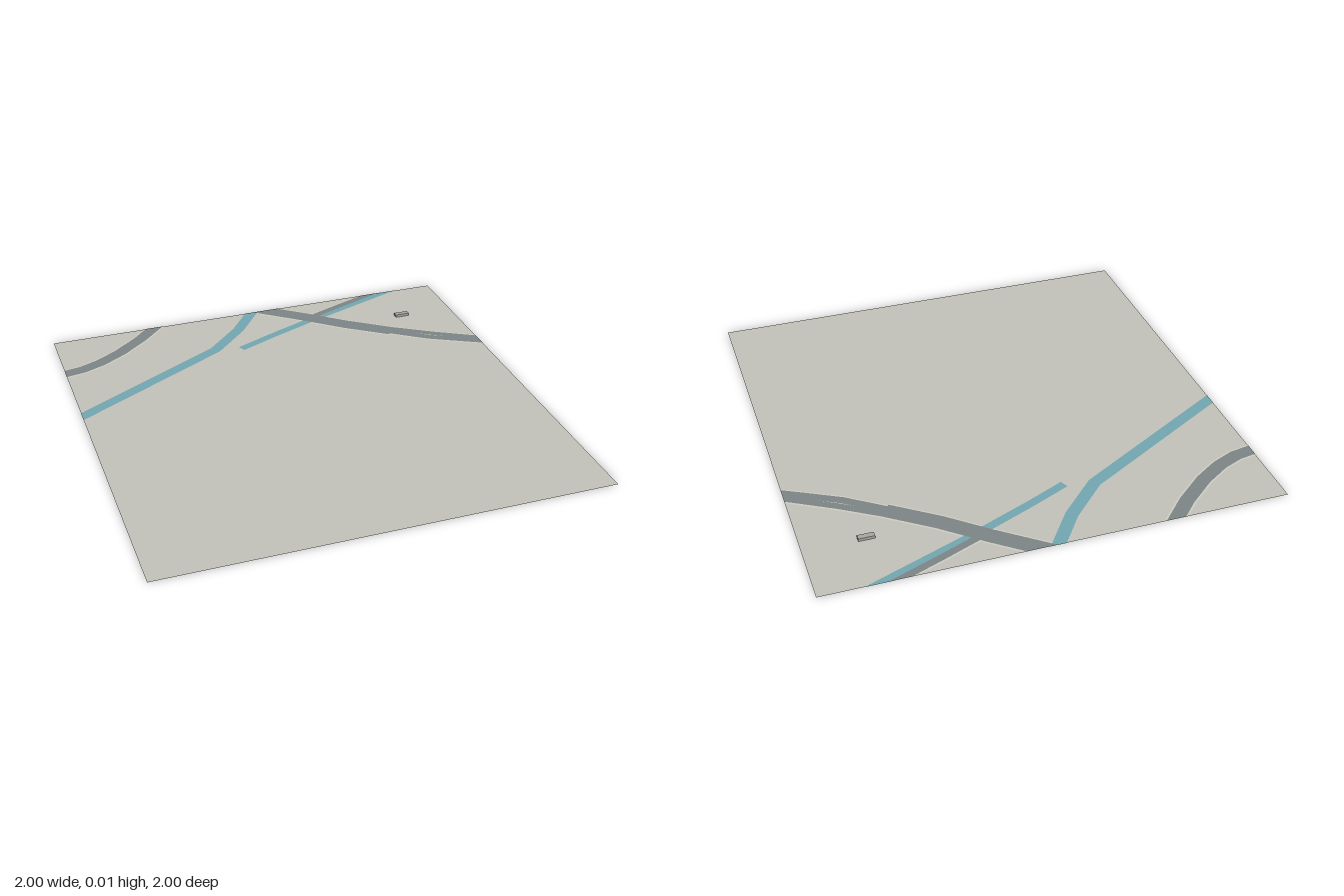
import * as THREE from 'three';

const material = (color) => new THREE.MeshStandardMaterial({ color, side: THREE.DoubleSide });
const ground = material(0xc4c4bc);
const verge = material(0xd0cfc4);
const asphalt = material(0x7f8688);
const water = material(0x74a9b3);
const wall = material(0xa9a9a4);

// Cut a polygon of [x, z] corners to the square tile
function clipToTile(polygon) {
  for (const axis of [0, 1]) {
    for (const sign of [-1, 1]) {
      const out = [];
      polygon.forEach((a, i) => {
        const b = polygon[(i + 1) % polygon.length];
        const da = 1 - sign * a[axis];
        const db = 1 - sign * b[axis];
        if (da >= 0) out.push(a);
        if (da * db < 0) {
          const t = da / (da - db);
          out.push([a[0] + t * (b[0] - a[0]), a[1] + t * (b[1] - a[1])]);
        }
      });
      polygon = out;
    }
  }
  return polygon;
}

// Flat mitred band along a path of [x, z] points
function ribbon(name, path, width, y, mat) {
  const points = path.map(([x, z]) => new THREE.Vector2(x, z));
  const directions = points.slice(1).map((p, i) => p.clone().sub(points[i]).normalize());
  const sides = points.map((p, i) => {
    const before = directions[Math.max(i - 1, 0)];
    const after = directions[Math.min(i, directions.length - 1)];
    const d = before.clone().add(after).normalize();
    const half = width / 2 / d.dot(after);
    return [
      [p.x - d.y * half, p.y + d.x * half],
      [p.x + d.y * half, p.y - d.x * half],
    ];
  });
  const positions = [];
  for (let i = 0; i < directions.length; i++) {
    const corners = clipToTile([sides[i][0], sides[i + 1][0], sides[i + 1][1], sides[i][1]]);
    for (let k = 1; k < corners.length - 1; k++) {
      for (const [x, z] of [corners[0], corners[k], corners[k + 1]]) positions.push(x, y, z);
    }
  }
  const geometry = new THREE.BufferGeometry();
  geometry.setAttribute('position', new THREE.Float32BufferAttribute(positions, 3));
  geometry.computeVertexNormals();
  const mesh = new THREE.Mesh(geometry, mat);
  mesh.name = name;
  return mesh;
}

export function createModel() {
  const model = new THREE.Group();
  model.name = 'terrainTile';

  // Ground sheet
  const sheet = new THREE.Mesh(new THREE.PlaneGeometry(2, 2).rotateX(-Math.PI / 2), ground);
  sheet.name = 'ground';
  sheet.position.y = 0.001;
  model.add(sheet);

  // Streams, lying just through the ground so they show on both faces
  const streams = {
    longStream: { width: 0.055, path: [[-1.1, -0.321], [-0.265, -0.675], [-0.1, -0.84], [0.055, -1.05]] },
    shortStream: { width: 0.04, path: [[-0.14, -0.645], [0.04, -0.725], [0.27, -0.82], [0.85, -1.037]] },
  };
  streams.longStream.path[0] = [-1.1, -0.208];
  for (const [name, { width, path }] of Object.entries(streams)) {
    model.add(ribbon(name, path, width, 0.002, water));
    model.add(ribbon(name + 'Bed', path, width, 0, water));
  }

  // Roads with pale verges
  const roads = {
    cornerRoad: {
      width: 0.062,
      path: [[-1.06, -0.67], [-1, -0.675], [-0.915, -0.69], [-0.82, -0.73], [-0.71, -0.8], [-0.585, -0.905], [-0.44, -1.055]],
    },
    mainRoad: { width: 0.08, path: [[0.02, -1.055], [0.09, -1], [0.26, -0.865], [0.43, -0.72], [0.62, -0.58]] },
    northLane: { width: 0.036, path: [[0.59, -0.625], [0.8, -0.49], [1.05, -0.345]] },
    southLane: { width: 0.04, path: [[0.59, -0.59], [0.77, -0.46], [0.89, -0.395], [1.05, -0.31]] },
    sideRoad: { width: 0.034, path: [[0.27, -0.845], [0.47, -0.925], [0.76, -1.035]] },
  };
  for (const [name, { width, path }] of Object.entries(roads)) {
    model.add(ribbon(name + 'Verge', path, width + 0.016, 0.0015, verge));
    model.add(ribbon(name, path, width, 0.0025, asphalt));
  }

  // Lone building
  const building = new THREE.Mesh(new THREE.BoxGeometry(0.07, 0.013, 0.025), wall);
  building.name = 'building';
  building.position.set(0.735, 0.0075, -0.722);
  model.add(building);

  return model;
}
